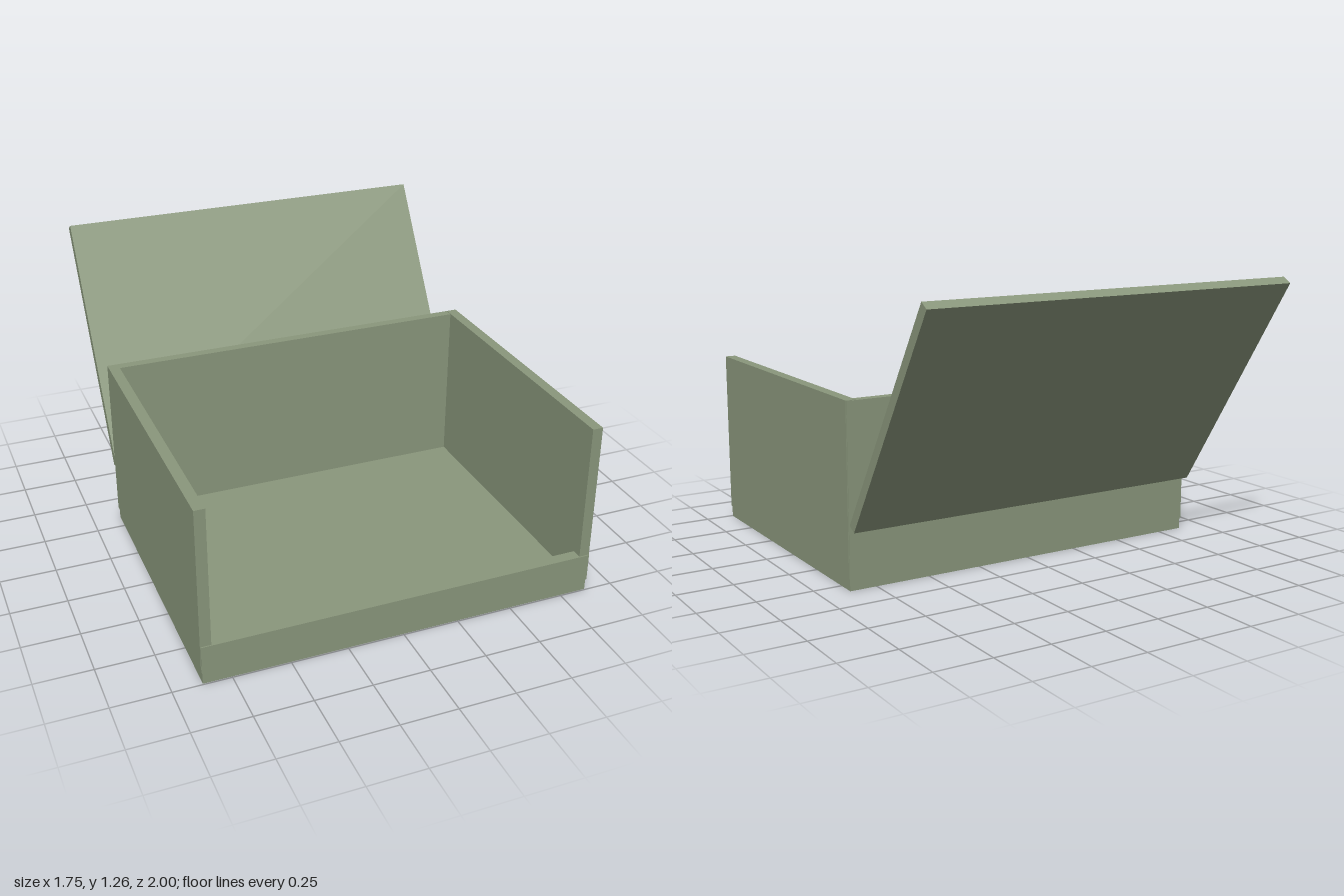
import * as THREE from 'three';

export function createModel() {
  const group = new THREE.Group();
  const paint = new THREE.MeshStandardMaterial({ color: 0x8a977c, flatShading: true });

  // Axis-aligned board given by its minimum and maximum corners
  function board(name, [x0, y0, z0], [x1, y1, z1]) {
    const mesh = new THREE.Mesh(new THREE.BoxGeometry(x1 - x0, y1 - y0, z1 - z0), paint);
    mesh.position.set((x0 + x1) / 2, (y0 + y1) / 2, (z0 + z1) / 2);
    mesh.name = name;
    group.add(mesh);
    return mesh;
  }

  // Floor, set in slightly from the walls
  board('floor', [-0.872, 0, -0.333], [0.872, 0.054, 0.995]);

  // Tall side walls
  for (const [side, s] of [['left', 1], ['right', -1]]) {
    const wall = board(side + 'Wall', [0.83, 0.053, -0.334], [0.877, 0.8, 0.994]);
    wall.position.x *= s;
  }

  // Tall back wall and low front lip
  board('backWall', [-0.874, 0.053, -0.338], [0.874, 0.798, -0.295]);
  board('frontLip', [-0.875, 0.053, 0.948], [0.875, 0.178, 0.999]);

  // Open lid leaning back behind the box
  const lid = new THREE.Mesh(new THREE.BoxGeometry(1.744, 1.155, 0.045), paint);
  lid.name = 'lid';
  lid.position.set(0, 0.758, -0.67);
  lid.rotation.x = -THREE.MathUtils.degToRad(32.5);
  group.add(lid);

  return group;
}
